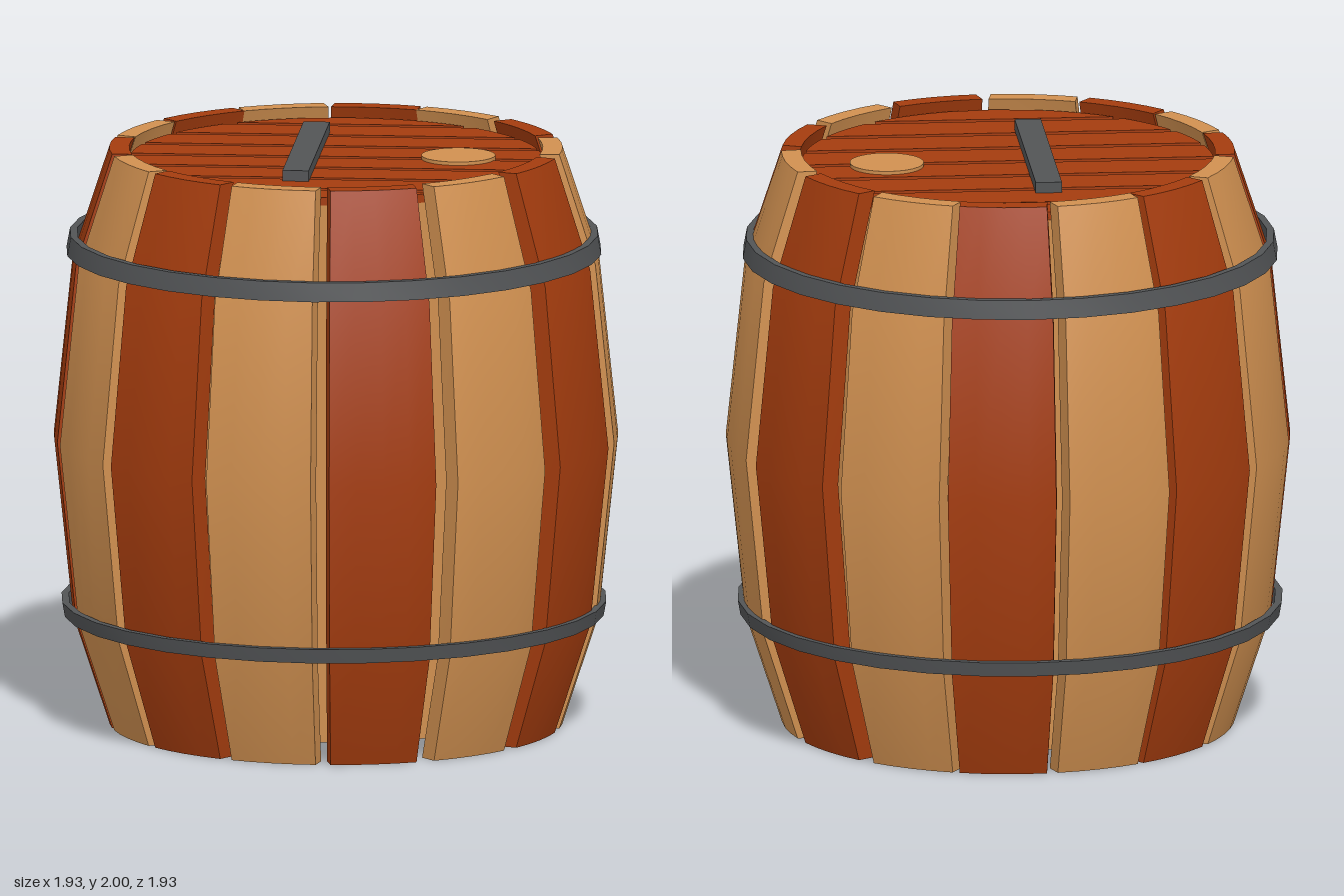
import * as THREE from 'three';
import { toCreasedNormals } from 'three/addons/utils/BufferGeometryUtils.js';

const darkWood = new THREE.MeshStandardMaterial({ color: 0xa43c0e });
const lightWood = new THREE.MeshStandardMaterial({ color: 0xd09050 });
const iron = new THREE.MeshStandardMaterial({ color: 0x525456 });

// Bulging side of the barrel: [height, outer radius]
const PROFILE = [[0, 0.775], [0.38, 0.9], [1, 0.965], [1.62, 0.9], [2, 0.775]];
// Directions of the hand-set staves, degrees from the front towards +x
const STAVE_ANGLES = [14.5, 41.5, 68.5, 96, 123, 150, 174, 199, 223, 248, 273, 298, 323, 348.5];
const HALF_STAVE = THREE.MathUtils.degToRad(11.1);
const THICKNESS = 0.068;
const LID_RADIUS = 0.705;

function add(parent, name, geometry, material) {
  const mesh = new THREE.Mesh(geometry, material);
  mesh.name = name;
  parent.add(mesh);
  return mesh;
}

// A box bent around the barrel and along its profile
function staveGeometry() {
  const geo = new THREE.BoxGeometry(2, 4, 1, 4, 4, 1);
  const pos = geo.attributes.position;
  for (let i = 0; i < pos.count; i++) {
    const [y, r] = PROFILE[Math.round(pos.getY(i) + 2)];
    const a = pos.getX(i) * HALF_STAVE;
    const inset = pos.getZ(i) < 0 ? THICKNESS : 0;
    pos.setXYZ(i, r * Math.sin(a), y, r * Math.cos(a) - inset);
  }
  return toCreasedNormals(geo, 0.6);
}

// Flat band with rectangular section
function hoopGeometry(y0, r0, y1, r1) {
  const t = 0.025;
  const section = [[r0 - t, y0], [r0, y0], [r1, y1], [r1 - t, y1], [r0 - t, y0]];
  const geo = new THREE.LatheGeometry(section.map(([r, y]) => new THREE.Vector2(r, y)), 32);
  return toCreasedNormals(geo, 0.6);
}

// Lid board between two z values, its ends following the round edge
function plankGeometry(z0, z1, height) {
  const R = LID_RADIUS, steps = 8;
  const right = [], left = [];
  for (let i = 0; i <= steps; i++) {
    const z = z0 + (z1 - z0) * i / steps;
    const x = Math.sqrt(Math.max(0, R * R - z * z));
    right.push(new THREE.Vector2(x, -z));
    left.unshift(new THREE.Vector2(-x, -z));
  }
  const shape = new THREE.Shape([...right, ...left]);
  const geo = new THREE.ExtrudeGeometry(shape, { depth: height, bevelEnabled: false });
  return geo.rotateX(-Math.PI / 2);
}

export function createModel() {
  const barrel = new THREE.Group();
  barrel.name = 'barrel';

  // Staves in alternating wood
  const staves = new THREE.Group();
  staves.name = 'staves';
  barrel.add(staves);
  const stave = staveGeometry();
  STAVE_ANGLES.forEach((deg, i) => {
    const mesh = add(staves, 'stave', stave, i % 2 ? lightWood : darkWood);
    mesh.rotation.y = THREE.MathUtils.degToRad(deg);
  });

  // Inner drum, whose ends form the base and the bed of the lid
  const drum = new THREE.CylinderGeometry(LID_RADIUS, LID_RADIUS, 1.87, 40);
  add(barrel, 'innerDrum', drum, lightWood).position.y = 1.0;

  // Lid boards with narrow grooves between them
  const lid = new THREE.Group();
  lid.name = 'lid';
  barrel.add(lid);
  const pitch = 0.189, gap = 0.03, offset = -0.007;
  for (let i = -4; i < 4; i++) {
    const z0 = i === -4 ? -LID_RADIUS : i * pitch + gap / 2 + offset;
    const z1 = i === 3 ? LID_RADIUS : (i + 1) * pitch - gap / 2 + offset;
    add(lid, 'lidPlank', plankGeometry(z0, z1, 0.03), darkWood).position.y = 1.933;
  }

  // Handle bar and bung
  const bar = add(lid, 'handleBar', new THREE.BoxGeometry(0.09, 0.04, 0.865), iron);
  bar.position.set(-0.103, 1.98, -0.007);
  const bung = add(lid, 'bung', new THREE.CylinderGeometry(0.127, 0.127, 0.03, 28), lightWood);
  bung.position.set(0.418, 1.96, -0.023);

  // Iron hoops
  const topHoop = add(barrel, 'topHoop', hoopGeometry(1.64, 0.917, 1.705, 0.905), iron);
  topHoop.position.x = -0.007;
  const bottomHoop = add(barrel, 'bottomHoop', hoopGeometry(0.383, 0.925, 0.433, 0.934), iron);
  bottomHoop.position.x = -0.007;

  return barrel;
}
